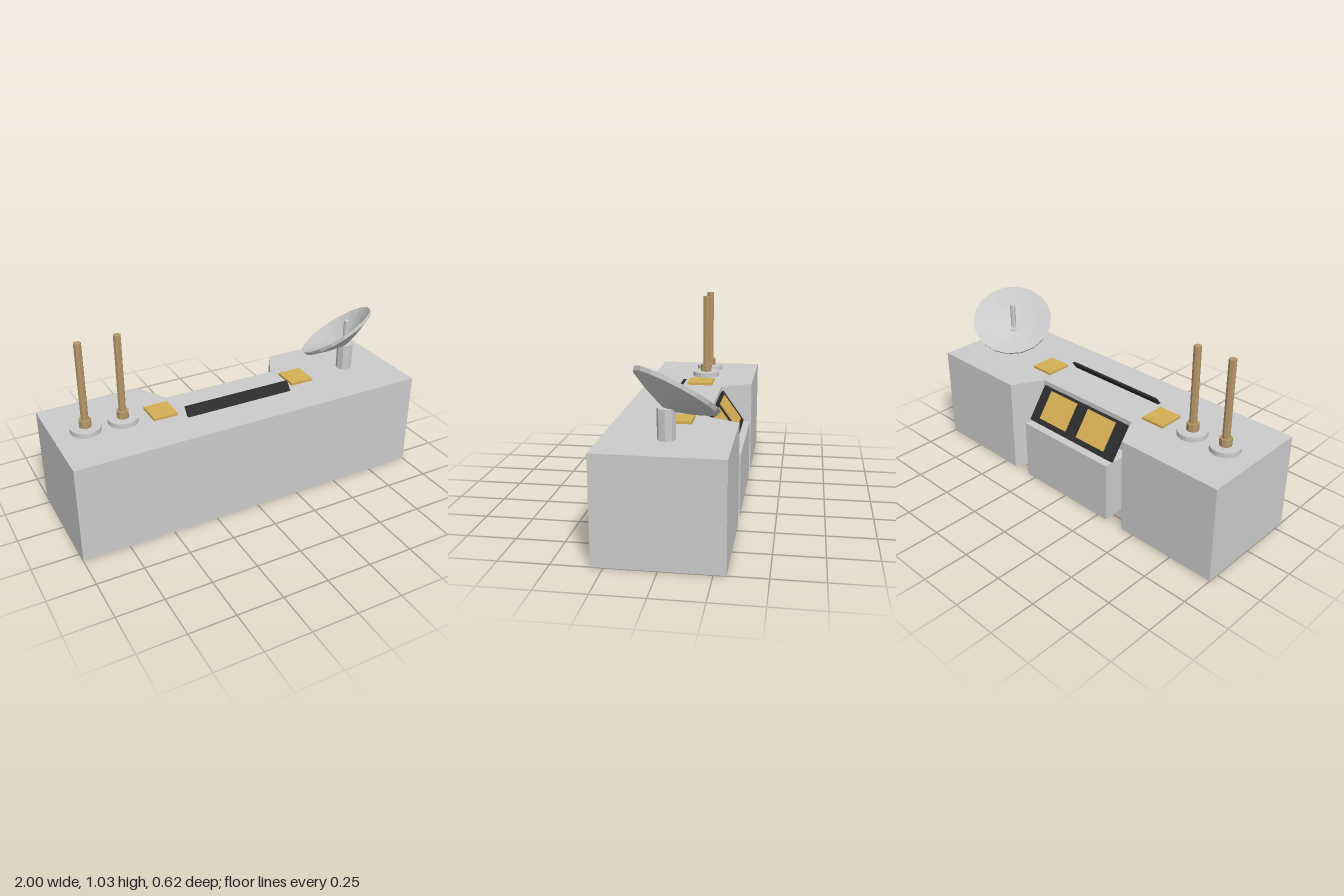
import * as THREE from 'three';

const material = (color) =>
  new THREE.MeshStandardMaterial({ color, flatShading: true, side: THREE.DoubleSide });

export function createModel() {
  const model = new THREE.Group();
  const grey = material(0xcccccc);
  const gold = material(0xd4ae54);
  const brass = material(0xb5976a);
  const black = material(0x2c2c2c);
  const TOP = 0.54;

  const add = (name, geometry, mat, x = 0, y = 0, z = 0, parent = model) => {
    const mesh = new THREE.Mesh(geometry, mat);
    mesh.name = name;
    mesh.position.set(x, y, z);
    parent.add(mesh);
    return mesh;
  };
  const polygon = (points) => new THREE.Shape(points.map(([x, y]) => new THREE.Vector2(x, y)));
  const post = (radius, height, sides) =>
    new THREE.CylinderGeometry(radius, radius, height, sides).translate(0, height / 2, 0);

  // Long counter with a flared bay cut into the back
  const plan = polygon([
    [-1, -0.31], [1, -0.31], [1, 0.31], [0.42, 0.31],
    [0.33, 0.14], [-0.33, 0.14], [-0.42, 0.31], [-1, 0.31],
  ]);
  const body = new THREE.ExtrudeGeometry(plan, { depth: TOP, bevelEnabled: false });
  add('counterBody', body.rotateX(-Math.PI / 2), grey);

  // Lower console standing in the bay
  add('console', new THREE.BoxGeometry(0.62, 0.34, 0.17), grey, 0, 0.17, -0.225);

  // Leaning panel with two screens; local +z points out of the back
  const panel = new THREE.Group();
  panel.name = 'controlPanel';
  panel.position.set(0, 0.43, -0.206);
  panel.rotation.set(0.615, Math.PI, 0, 'YXZ');
  panel.rotation.x = -0.615;
  model.add(panel);
  add('panelPlate', new THREE.BoxGeometry(0.62, 0.21, 0.02), black, 0, 0, 0, panel);
  for (const side of [-1, 1]) {
    add('screen', new THREE.BoxGeometry(0.2, 0.165, 0.012), gold, side * 0.142, 0.008, 0.012, panel);
  }

  // Slanted strip along the top edge of the bay
  const strip = polygon([[0.062, 0.582], [0.08, 0.582], [0.112, TOP], [0.092, TOP]]);
  const stripGeometry = new THREE.ExtrudeGeometry(strip, { depth: 0.62, bevelEnabled: false });
  add('slantedStrip', stripGeometry.rotateY(Math.PI / 2), black, -0.31, 0, 0);
  stripGeometry.translate(-0, 0, 0).scale(1, 1, -1);

  // Flat pads on the counter top
  for (const side of [-1, 1]) {
    add('counterPad', new THREE.BoxGeometry(0.135, 0.014, 0.145), gold, side * 0.417, TOP + 0.007, -0.008);
  }

  // Two rod antennas on round feet
  for (const x of [-0.827, -0.625]) {
    const antenna = new THREE.Group();
    antenna.name = 'antenna';
    antenna.position.set(x, TOP, -0.014);
    add('antennaFoot', post(0.08, 0.027, 24), grey, 0, 0, 0, antenna);
    add('antennaCollar', post(0.033, 0.068, 8), brass, 0, 0, 0, antenna);
    add('antennaRod', post(0.02, 0.49, 8), brass, 0, 0, 0, antenna);
    model.add(antenna);
  }

  // Tilted dish on a pedestal, with an upright feed pin
  add('dishPedestal', post(0.045, 0.15, 8), grey, 0.742, TOP, 0);
  const dishProfile = [[0, 0], [0.03, 0.006], [0.13, 0.043], [0.22, 0.085], [0.226, 0.106], [0.13, 0.062], [0, 0.014]];
  const dish = add(
    'dish',
    new THREE.LatheGeometry(dishProfile.map(([r, y]) => new THREE.Vector2(r, y)), 18),
    grey, 0.742, 0.68, 0,
  );
  const axis = new THREE.Vector3(-0.41, 0.82, -0.41).normalize();
  dish.quaternion.setFromUnitVectors(new THREE.Vector3(0, 1, 0), axis);
  add('feedPin', post(0.015, 0.15, 8), grey, 0.742, 0.68, 0);

  return model;
}
